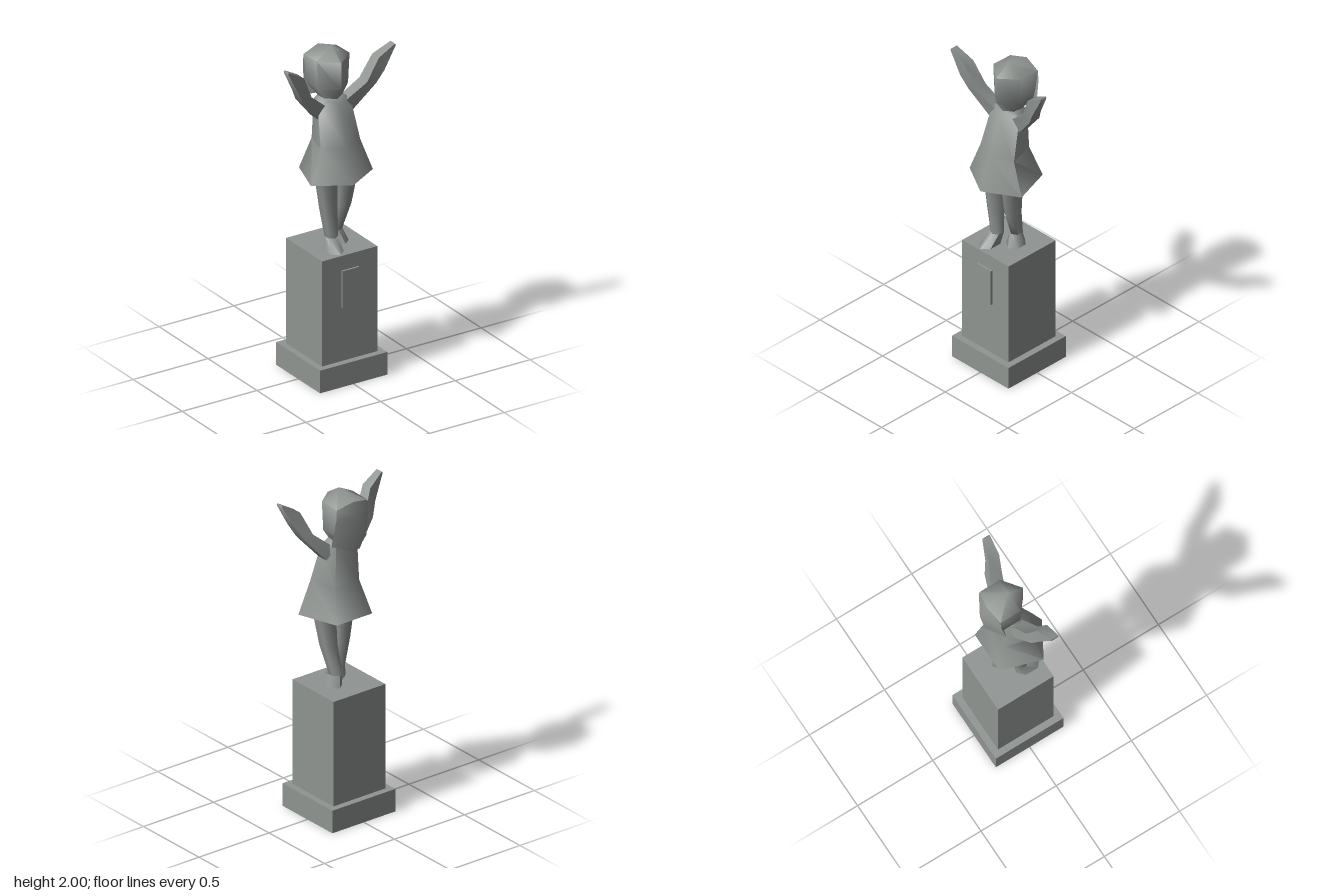
import * as THREE from 'three';
import { toCreasedNormals } from 'three/addons/utils/BufferGeometryUtils.js';

const stone = new THREE.MeshStandardMaterial({ color: 0x8f9491 });
stone.name = 'stone';

function add(parent, name, geometry) {
  const mesh = new THREE.Mesh(geometry, stone);
  mesh.name = name;
  parent.add(mesh);
  return mesh;
}

function box(parent, name, w, h, d, y, z = 0) {
  add(parent, name, new THREE.BoxGeometry(w, h, d)).position.set(0, y, z);
}

// Skin over rings of points, first to last, with both ends closed.
// Each ring runs counterclockwise around the direction of travel.
function loft(rings, crease = 1.3, side = 1) {
  const n = rings[0].length;
  const pos = [];
  const index = [];
  for (const ring of rings) {
    const pts = side < 0 ? [...ring].reverse() : ring;
    for (const [x, y, z] of pts) pos.push(x * side, y, z);
  }
  for (let i = 0; i < rings.length - 1; i++) {
    for (let j = 0; j < n; j++) {
      const a = i * n + j, b = i * n + (j + 1) % n;
      index.push(a, b, a + n, b, b + n, a + n);
    }
  }
  const top = (rings.length - 1) * n;
  for (let j = 1; j < n - 1; j++) {
    index.push(0, j + 1, j, top, top + j, top + j + 1);
  }
  const geometry = new THREE.BufferGeometry();
  geometry.setAttribute('position', new THREE.Float32BufferAttribute(pos, 3));
  geometry.setIndex(index);
  return toCreasedNormals(geometry, crease);
}

// Elliptical ring, level in y
function ellipse([x, y, z, rx, rz], n = 6) {
  return Array.from({ length: n }, (_, k) => {
    const a = (k / n) * Math.PI * 2;
    return [x + rx * Math.sin(a), y, z + rz * Math.cos(a)];
  });
}

// Five-sided dress ring with a point at the front
function dressRing([y, front, sx, sz, bx, bz]) {
  return [[0, y, front], [sx, y, sz], [bx, y, bz], [-bx, y, bz], [-sx, y, sz]];
}

// Six-sided head ring: heights for front, sides, rear sides and back
function headRing([fy, fz, sx, sy, sz, ry, rz, by, bz]) {
  return [[0, fy, fz], [sx, sy, sz], [sx, ry, rz], [0, by, bz], [-sx, ry, rz], [-sx, sy, sz]];
}

// Four-sided hair ring: inner middle, sides, outer middle
function hairRing([iy, iz, sx, sy, sz, by, bz]) {
  return [[0, iy, iz], [sx, sy, sz], [0, by, bz], [-sx, sy, sz]];
}

// Arm ring from its upper and lower edge
function armRing([ux, uy, lx, ly, z, w]) {
  return [[ux, uy, z + w], [lx, ly, z + w], [lx, ly, z - w], [ux, uy, z - w]];
}

export function createModel() {
  const model = new THREE.Group();
  model.name = 'statue';

  // Pedestal
  box(model, 'plinth', 0.45, 0.14, 0.45, 0.07);
  box(model, 'pedestal', 0.37, 0.65, 0.37, 0.465);
  box(model, 'plaque', 0.11, 0.23, 0.02, 0.585, 0.187);

  // Dress
  add(model, 'dress', loft([
    [1.23, 0.225, 0.207, 0.105, 0.127, -0.14],
    [1.43, 0.16, 0.132, 0.09, 0.085, -0.075],
    [1.67, 0.075, 0.108, 0.025, 0.075, -0.07],
    [1.70, 0.05, 0.065, 0.02, 0.045, -0.065],
  ].map(dressRing)));

  // Head with neck
  add(model, 'head', loft([
    [1.66, 0.04, 0.055, 1.66, 0.015, 1.66, -0.045, 1.66, -0.06],
    [1.70, 0.055, 0.06, 1.70, 0.02, 1.70, -0.055, 1.70, -0.07],
    [1.77, 0.1, 0.1, 1.76, 0.015, 1.76, -0.1, 1.76, -0.12],
    [1.935, 0.1, 0.11, 1.94, 0.015, 1.935, -0.12, 1.965, -0.14],
    [2, 0.001, 0.001, 2, 0, 2, 0, 2, -0.001],
  ].map(headRing)));

  // Long hair at the back
  add(model, 'hair', loft([
    [1.70, -0.06, 0.125, 1.70, -0.09, 1.655, -0.155],
    [1.86, -0.08, 0.114, 1.87, -0.12, 1.89, -0.187],
    [1.90, -0.10, 0.11, 1.935, -0.12, 1.965, -0.14],
  ].map(hairRing)));

  // Raised arms with flat tapering hands
  const arm = [
    [0.05, 1.65, 0.117, 1.593, 0, 0.036],
    [0.185, 1.762, 0.243, 1.74, 0.04, 0.04],
    [0.25, 1.905, 0.287, 1.82, 0.067, 0.034],
    [0.355, 1.968, 0.361, 1.96, 0.083, 0.023],
  ].map(armRing);
  add(model, 'leftArm', loft(arm, 1.2));
  add(model, 'rightArm', loft(arm, 1.2, -1));

  // Legs and shoes, the left one set further back
  for (const [name, side, kneeZ, ankleZ, footZ, footLength] of [
    ['left', 1, 0.025, -0.02, -0.005, 0.068],
    ['right', -1, 0.05, 0.055, 0.098, 0.078],
  ]) {
    const ankle = ellipse([0.038, 0.86, ankleZ, 0.038, 0.04]);
    const leg = [
      ankle,
      ellipse([0.055, 1.03, kneeZ, 0.05, 0.055]),
      ellipse([0.07, 1.25, 0.048, 0.066, 0.068]),
    ];
    const sole = ellipse([0.052, 0.79, footZ, 0.05, footLength]);
    add(model, name + 'Leg', loft(leg, 1.3, side));
    add(model, name + 'Shoe', loft([sole, ankle], 1.0, side));
  }

  return model;
}
